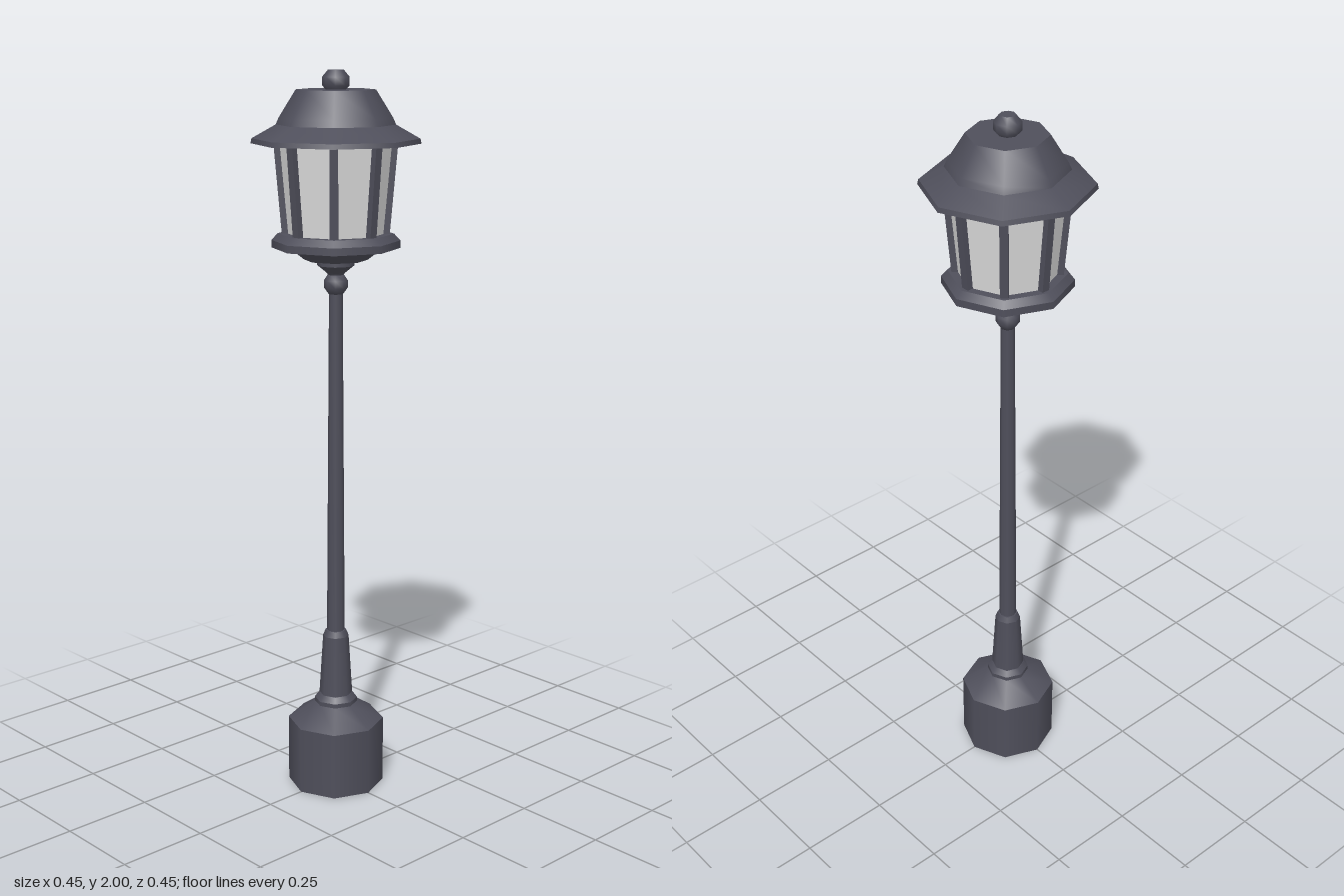
import * as THREE from 'three';
import { mergeGeometries } from 'three/addons/utils/BufferGeometryUtils.js';

const SIDES = 8;

// Eight-sided turned part from [radius, height] points, listed bottom to top
function smoothTurn(points) {
  return new THREE.LatheGeometry(points.map(([r, y]) => new THREE.Vector2(r, y)), SIDES);
}

// Same, but with a sharp edge at every ring of the profile
function ringTurn(points) {
  return mergeGeometries(points.slice(1).map((p, i) => smoothTurn([points[i], p])));
}

export function createModel() {
  const group = new THREE.Group();
  const metal = new THREE.MeshStandardMaterial({ color: 0x4f4f5b });
  metal.name = 'darkMetal';
  const glass = new THREE.MeshStandardMaterial({ color: 0xdadada });
  glass.name = 'paleGlass';

  const add = (name, geometry, material = metal) => {
    const mesh = new THREE.Mesh(geometry, material);
    mesh.name = name;
    group.add(mesh);
    return mesh;
  };

  // Plinth, collar and tapered sleeve
  add('base', ringTurn([[0, 0], [0.135, 0], [0.135, 0.19], [0.06, 0.24], [0, 0.24]]));
  add('collar', ringTurn([[0.06, 0.24], [0.06, 0.252], [0.048, 0.268], [0, 0.268]]));
  add('sleeve', ringTurn([[0.047, 0.262], [0.036, 0.44], [0.029, 0.457], [0, 0.457]]));

  // Pole and knob
  add('pole', ringTurn([[0.025, 0.45], [0.0185, 1.42]]));
  add('poleKnob', smoothTurn([
    [0, 1.41], [0.02, 1.413], [0.032, 1.43], [0.032, 1.45], [0.02, 1.467], [0, 1.47],
  ]));

  // Cup and tray that carry the lantern
  add('neck', ringTurn([[0.018, 1.46], [0.025, 1.47], [0.05, 1.49], [0.05, 1.51]]));
  add('bowl', ringTurn([[0, 1.505], [0.085, 1.505], [0.118, 1.53], [0.118, 1.54]]));
  add('tray', ringTurn([
    [0, 1.537], [0.172, 1.537], [0.172, 1.557], [0.155, 1.575], [0, 1.575],
  ]));

  // Flat glass panes between the posts
  const panes = smoothTurn([[0.131, 1.575], [0.152, 1.812]]).toNonIndexed();
  panes.computeVertexNormals();
  add('glassPanes', panes, glass);

  // Leaning corner posts
  const low = new THREE.Vector2(0.132, 1.57);
  const high = new THREE.Vector2(0.153, 1.815);
  const postGeometry = new THREE.BoxGeometry(0.022, high.distanceTo(low), 0.022);
  postGeometry.rotateX(Math.atan2(high.x - low.x, high.y - low.y));
  postGeometry.translate(0, (low.y + high.y) / 2, (low.x + high.x) / 2);
  for (let i = 0; i < SIDES; i++) {
    add('cornerPost', postGeometry).rotation.y = (i / SIDES) * Math.PI * 2;
  }

  // Roof: flared brim, domed crown and finial
  add('brim', ringTurn([[0, 1.811], [0.225, 1.811], [0.222, 1.824], [0.158, 1.86]]));
  add('crown', mergeGeometries([
    smoothTurn([[0.158, 1.86], [0.15, 1.878], [0.105, 1.95]]),
    smoothTurn([[0.105, 1.95], [0, 1.95]]),
  ]));
  add('finial', mergeGeometries([
    smoothTurn([[0.022, 1.945], [0.036, 1.96], [0.036, 1.982], [0.021, 2]]),
    smoothTurn([[0.021, 2], [0, 2]]),
  ]));

  return group;
}
